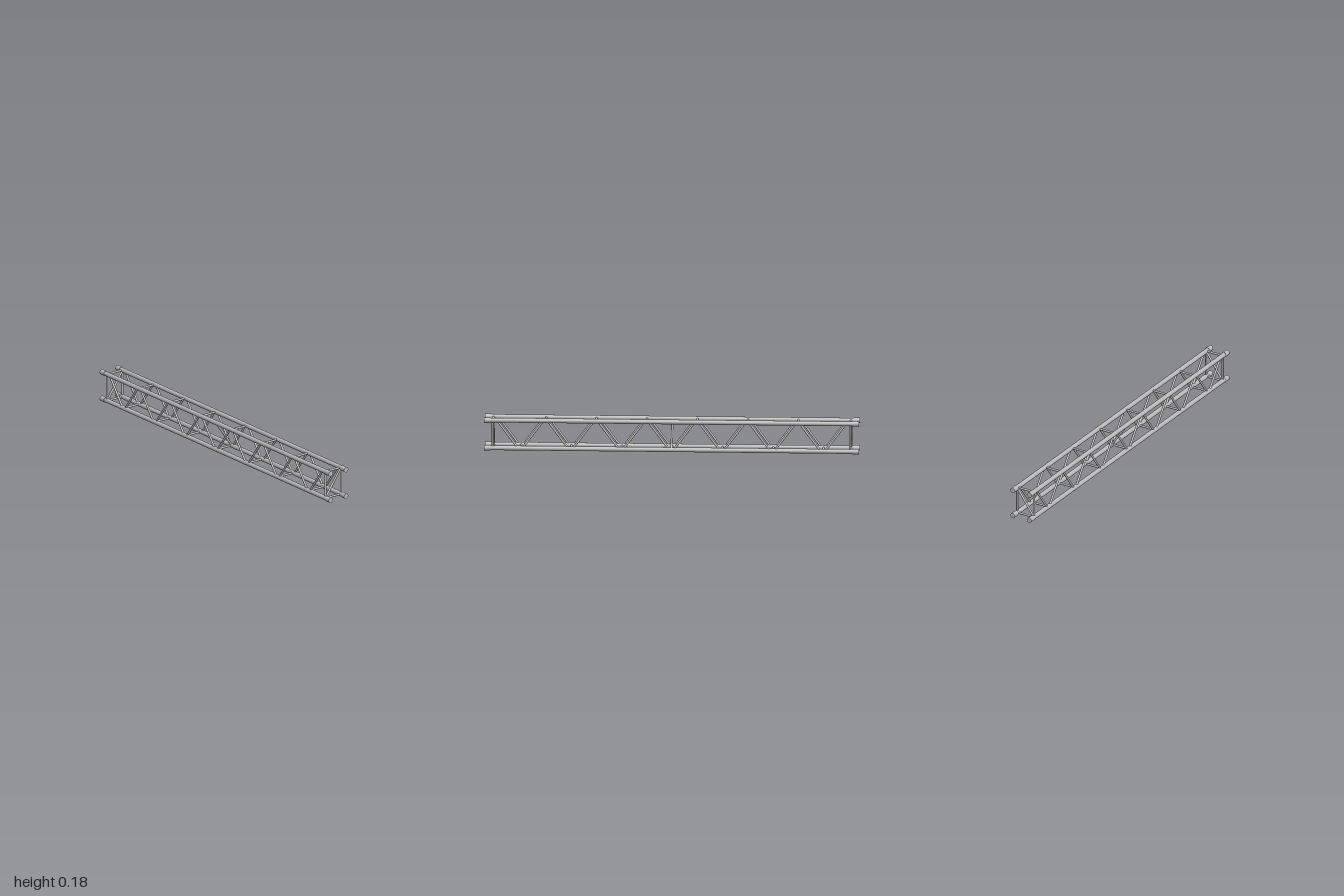
import * as THREE from 'three';

const LOW = 0.0145, HIGH = 0.1645; // chord centre heights
const HALF_DEPTH = 0.052;          // chord offset in z
const CHORD_R = 0.0125, COLLAR_R = 0.0145, BRACE_R = 0.0058;
const COLLAR_LEN = 0.035, END_X = 0.953, BAY = 0.1345;

export function createModel() {
  const truss = new THREE.Group();
  truss.name = 'boxTruss';
  const metal = new THREE.MeshStandardMaterial({ color: 0xb8b8b8 });
  metal.name = 'brushed metal';

  // Round bar between two points
  function bar(name, a, b, radius, sides = 16) {
    const from = new THREE.Vector3(...a), to = new THREE.Vector3(...b);
    const dir = to.clone().sub(from);
    const mesh = new THREE.Mesh(
      new THREE.CylinderGeometry(radius, radius, dir.length(), sides), metal);
    mesh.position.copy(from).add(to).multiplyScalar(0.5);
    mesh.quaternion.setFromUnitVectors(new THREE.Vector3(0, 1, 0), dir.normalize());
    mesh.name = name;
    truss.add(mesh);
  }

  // Main chords with wider end collars
  for (const y of [LOW, HIGH]) {
    for (const z of [-HALF_DEPTH, HALF_DEPTH]) {
      bar('chord', [-0.99, y, z], [0.99, y, z], CHORD_R, 28);
      for (const s of [-1, 1]) {
        bar('endCollar', [s * (1 - COLLAR_LEN), y, z], [s, y, z], COLLAR_R, 28);
      }
    }
  }

  // Zigzag webs on both faces, mirrored about the middle
  const inset = 0.011;
  for (const z of [-HALF_DEPTH, HALF_DEPTH]) {
    for (const s of [-1, 1]) {
      for (let i = 0; i < 7; i++) {
        const y0 = i % 2 ? HIGH : LOW, y1 = i % 2 ? LOW : HIGH;
        bar('webDiagonal', [s * (i * BAY + inset), y0, z],
          [s * ((i + 1) * BAY - inset), y1, z], BRACE_R);
      }
      bar('endPost', [s * END_X, LOW, z], [s * END_X, HIGH, z], BRACE_R);
    }
  }

  // Cross bars at each web node, alternating between bottom and top
  for (let i = -6; i <= 6; i++) {
    const y = i % 2 ? HIGH : LOW;
    bar('crossBar', [i * BAY, y, -HALF_DEPTH], [i * BAY, y, HALF_DEPTH], BRACE_R);
  }

  // End frames: top and bottom bars with a diagonal brace
  for (const x of [-END_X, END_X]) {
    for (const y of [LOW, HIGH]) {
      bar('endCrossBar', [x, y, -HALF_DEPTH], [x, y, HALF_DEPTH], BRACE_R);
    }
    bar('endBrace', [x, LOW, HALF_DEPTH], [x, HIGH, -HALF_DEPTH], BRACE_R);
  }

  // Opposite diagonal at mid-span
  bar('middleBrace', [0, HIGH, HALF_DEPTH], [0, LOW, -HALF_DEPTH], BRACE_R);

  return truss;
}
